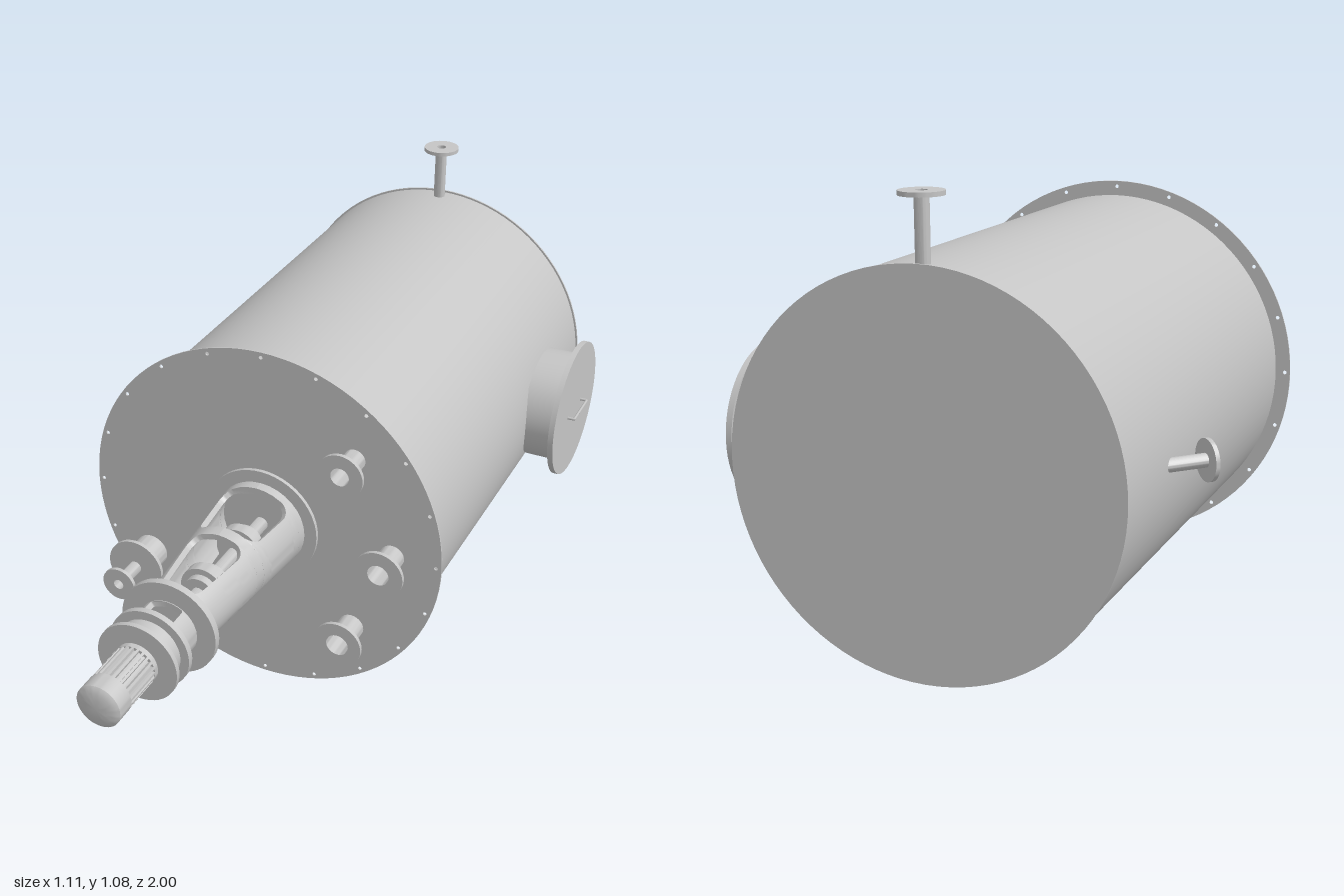
import * as THREE from 'three';
import { toCreasedNormals } from 'three/addons/utils/BufferGeometryUtils.js';

const CX = -0.008, CY = 0.485; // vessel axis
const steel = new THREE.MeshStandardMaterial({ color: 0xc5c5c5 });
steel.name = 'light steel grey';

export function createModel() {
  const model = new THREE.Group();
  model.name = 'mixingVessel';

  const add = (name, geo, parent = model) => {
    const mesh = new THREE.Mesh(geo, steel);
    mesh.name = name;
    parent.add(mesh);
    return mesh;
  };
  const UP = new THREE.Vector3(0, 1, 0);
  const FRONT = [0, 0, 1];

  // Turned part: profile of [radius, distance] pairs, spun about dir from pos
  const turned = (name, profile, pos, dir = FRONT, segments = 48) => {
    const pts = profile.map(([r, d]) => new THREE.Vector2(r, d));
    const mesh = add(name, toCreasedNormals(new THREE.LatheGeometry(pts, segments), 0.6));
    mesh.position.set(...pos);
    mesh.quaternion.setFromUnitVectors(UP, new THREE.Vector3(...dir).normalize());
    return mesh;
  };
  // Disc or drum on the main axis
  const drum = (name, r, z0, z1, segments = 48) =>
    turned(name, [[0, z0], [r, z0], [r, z1], [0, z1]], [CX, CY, 0], FRONT, segments);
  // Flanged pipe stub with an open bore
  const nozzle = (name, pos, dir, length, pipe, flange, bore, t = 0.01) =>
    turned(name, [[pipe, 0], [pipe, length - t], [flange, length - t], [flange, length],
      [bore, length], [bore, 0.008], [0, 0.008]], pos, dir, 36);

  // Tube from z0 to z1 with window openings above and below, built as two halves;
  // beside a window each half is cut back to halfHeight, with rounded corners
  const windowedTube = (name, z0, z1, radius, wall, halfHeight, corner, windows) => {
    const sections = [[z0, Math.PI / 2]];
    for (const [w0, w1] of windows) {
      sections.push([w0, Math.PI / 2]);
      for (let i = 0; i <= 32; i++) {
        const z = w0 + (w1 - w0) * (1 - Math.cos(Math.PI * i / 32)) / 2;
        const k = Math.max(0, corner - Math.min(z - w0, w1 - z));
        const round = corner - Math.sqrt(corner * corner - k * k);
        sections.push([z, Math.asin(halfHeight / radius(z)) + round / radius(z)]);
      }
      sections.push([w1, Math.PI / 2]);
    }
    sections.push([z1, Math.PI / 2]);
    const N = 16, ring = 2 * (N + 1), pos = [], index = [];
    sections.forEach(([z, a], s) => {
      for (let j = 0; j < ring; j++) {
        const outer = j <= N;
        const t = a * ((outer ? j : ring - 1 - j) / N * 2 - 1);
        const r = radius(z) - (outer ? 0 : wall);
        pos.push(r * Math.cos(t), r * Math.sin(t), z);
        if (s === sections.length - 1) continue;
        const p = s * ring + j, q = s * ring + (j + 1) % ring;
        index.push(p, q, q + ring, p, q + ring, p + ring);
      }
    });
    const half = new THREE.BufferGeometry();
    half.setAttribute('position', new THREE.Float32BufferAttribute(pos, 3));
    half.setIndex(index);
    const geo = toCreasedNormals(half, 0.6);
    for (const [side, turn] of [['Left', 0], ['Right', Math.PI]]) {
      const mesh = add(name + side, geo);
      mesh.position.set(CX, CY, 0);
      mesh.rotation.z = turn;
    }
  };

  // Shell and rear end plate
  drum('vesselShell', 0.446, -0.98, 0.2, 96);
  drum('rearPlate', 0.451, -0.985, -0.98, 96);

  // Front cover with bolt holes
  const cover = new THREE.Shape().absarc(0, 0, 0.484, 0, Math.PI * 2);
  for (let i = 0; i < 20; i++) {
    const a = i * Math.PI / 10;
    cover.holes.push(new THREE.Path().absarc(0.47 * Math.cos(a), 0.47 * Math.sin(a), 0.005, 0, Math.PI * 2, true));
  }
  const coverGeo = new THREE.ExtrudeGeometry(cover, { depth: 0.004, bevelEnabled: false, curveSegments: 48 });
  add('frontCover', toCreasedNormals(coverGeo, 0.6)).position.set(CX, CY, 0.199);

  // Nozzles
  nozzle('upperFrontNozzle', [0.241, 0.737, 0.2], FRONT, 0.09, 0.028, 0.059, 0.024);
  nozzle('middleFrontNozzle', [0.346, 0.485, 0.2], FRONT, 0.09, 0.032, 0.064, 0.028);
  nozzle('lowerFrontNozzle', [0.241, 0.235, 0.2], FRONT, 0.09, 0.034, 0.064, 0.03);
  turned('reducerNozzle', [[0.046, 0], [0.046, 0.08], [0.078, 0.08], [0.078, 0.09], [0, 0.09]], [-0.343, 0.293, 0.2]);
  nozzle('reducerOutlet', [-0.343, 0.293, 0.285], FRONT, 0.09, 0.017, 0.046, 0.014);
  nozzle('topNozzle', [CX, 0.92, -0.951], [0, 1, 0], 0.16, 0.016, 0.049, 0.013);
  nozzle('angledSideNozzle', [-0.438, CY, -0.711], [-1, 0, 1], 0.115, 0.016, 0.048, 0.013);

  // Manway with blind cover and handle
  turned('manway', [[0, 0], [0.154, 0], [0.154, 0.089], [0.192, 0.089], [0.192, 0.104], [0, 0.104]],
    [0.426, CY, -0.684], [1, 0, 0], 64);
  const handle = new THREE.CurvePath();
  const hp = [[0.525, -0.625], [0.548, -0.625], [0.548, -0.743], [0.525, -0.743]]
    .map(([x, z]) => new THREE.Vector3(x, CY, z));
  for (let i = 0; i < 3; i++) handle.add(new THREE.LineCurve3(hp[i], hp[i + 1]));
  add('manwayHandle', new THREE.TubeGeometry(handle, 60, 0.004, 8));

  // Mixer pad and tapered lantern
  drum('mixerPad', 0.154, 0.2, 0.213);
  windowedTube('lantern', 0.21, 0.67, z => 0.122 - (z - 0.2) * 0.079, 0.014, 0.073, 0.035,
    [[0.237, 0.405], [0.436, 0.648]]);

  // Shaft and couplings inside the lantern
  drum('mixerShaft', 0.018, 0.21, 0.76, 24);
  for (const z of [0.29, 0.47]) {
    turned('shaftCoupling', [[0, 0], [0.042, 0], [0.042, 0.022], [0.058, 0.022], [0.058, 0.052],
      [0.042, 0.052], [0.042, 0.072], [0, 0.072]], [CX, CY, z]);
  }
  turned('shaftCollar', [[0, 0], [0.024, 0], [0.024, 0.012], [0.035, 0.012], [0.035, 0.042],
    [0.024, 0.042], [0.024, 0.056], [0, 0.056]], [CX, CY, 0.59]);

  // Drive mounting: flange, open spacer and gearbox
  drum('lanternFlange', 0.123, 0.666, 0.684);
  windowedTube('spacer', 0.682, 0.758, () => 0.075, 0.014, 0.062, 0.006, [[0.686, 0.753]]);
  turned('gearbox', [[0, 0.755], [0.102, 0.755], [0.102, 0.77], [0.08, 0.77], [0.08, 0.813], [0.102, 0.813],
    [0.102, 0.825], [0.054, 0.825], [0.054, 0.838], [0, 0.838]], [CX, CY, 0]);

  // Finned motor with a shallow domed cap
  drum('motorCore', 0.046, 0.835, 0.95);
  const fins = new THREE.Group();
  fins.name = 'motorFins';
  fins.position.set(CX, CY, 0);
  model.add(fins);
  const finGeo = new THREE.BoxGeometry(0.014, 0.006, 0.105);
  for (let i = 0; i < 24; i++) {
    const a = i * Math.PI / 12;
    const fin = add('motorFin', finGeo, fins);
    fin.position.set(0.047 * Math.cos(a), 0.047 * Math.sin(a), 0.89);
    fin.rotation.z = a;
  }
  turned('motorCap', [[0, 0.942], [0.055, 0.942], [0.055, 0.988], [0.05, 0.992], [0.04, 0.996],
    [0.025, 0.999], [0, 1]], [CX, CY, 0]);

  return model;
}
